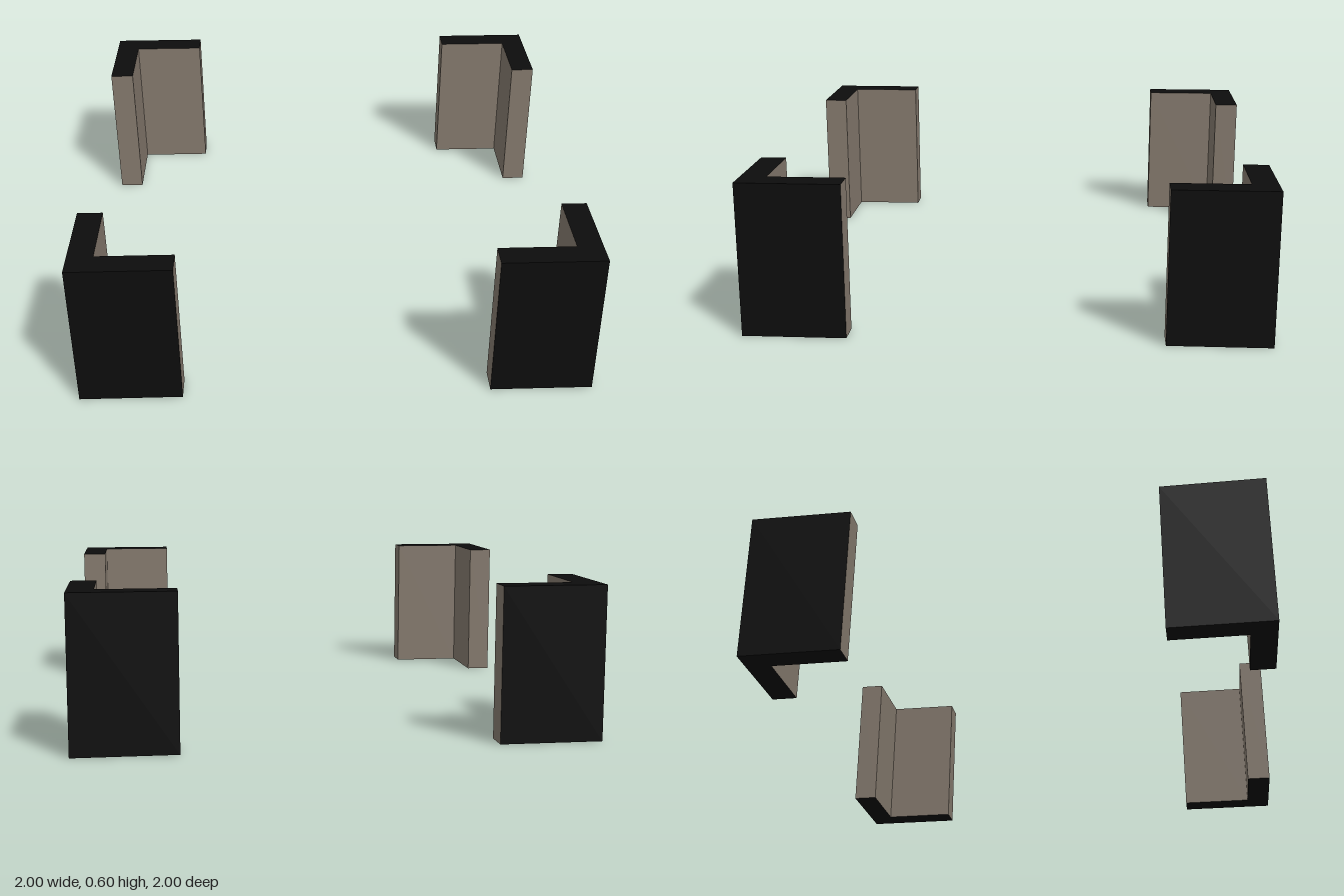
import * as THREE from 'three';

const HEIGHT = 0.6;

export function createModel() {
  const black = new THREE.MeshStandardMaterial({ color: 0x0d0d0d });
  black.name = 'black';
  const taupe = new THREE.MeshStandardMaterial({ color: 0x857a6e });
  taupe.name = 'taupe';

  // L-shaped footprint (x, z) of one corner bracket
  const footprint = new THREE.Shape(
    [[1, 0.6], [1, 1], [0.6, 1], [0.6, 0.9], [0.9, 0.9], [0.9, 0.6]]
      .map(([x, z]) => new THREE.Vector2(x, z)));
  const geometry = new THREE.ExtrudeGeometry(footprint, { depth: HEIGHT, bevelEnabled: false });
  geometry.rotateX(Math.PI / 2).translate(0, HEIGHT, 0);

  // Inner walls and ends face towards -x or -z and are taupe; the rest is black
  geometry.clearGroups();
  const normal = geometry.attributes.normal;
  for (let i = 0; i < normal.count; i += 3) {
    const inward = normal.getX(i) < -0.5 || normal.getZ(i) < -0.5;
    geometry.addGroup(i, 3, inward ? 1 : 0);
  }

  // The same bracket turned to each corner
  const group = new THREE.Group();
  group.name = 'cornerBrackets';
  ['frontLeft', 'backLeft', 'backRight', 'frontRight'].forEach((corner, i) => {
    const bracket = new THREE.Mesh(geometry, [black, taupe]);
    bracket.name = corner + 'Bracket';
    bracket.rotation.y = i * Math.PI / 2;
    group.add(bracket);
  });
  return group;
}
